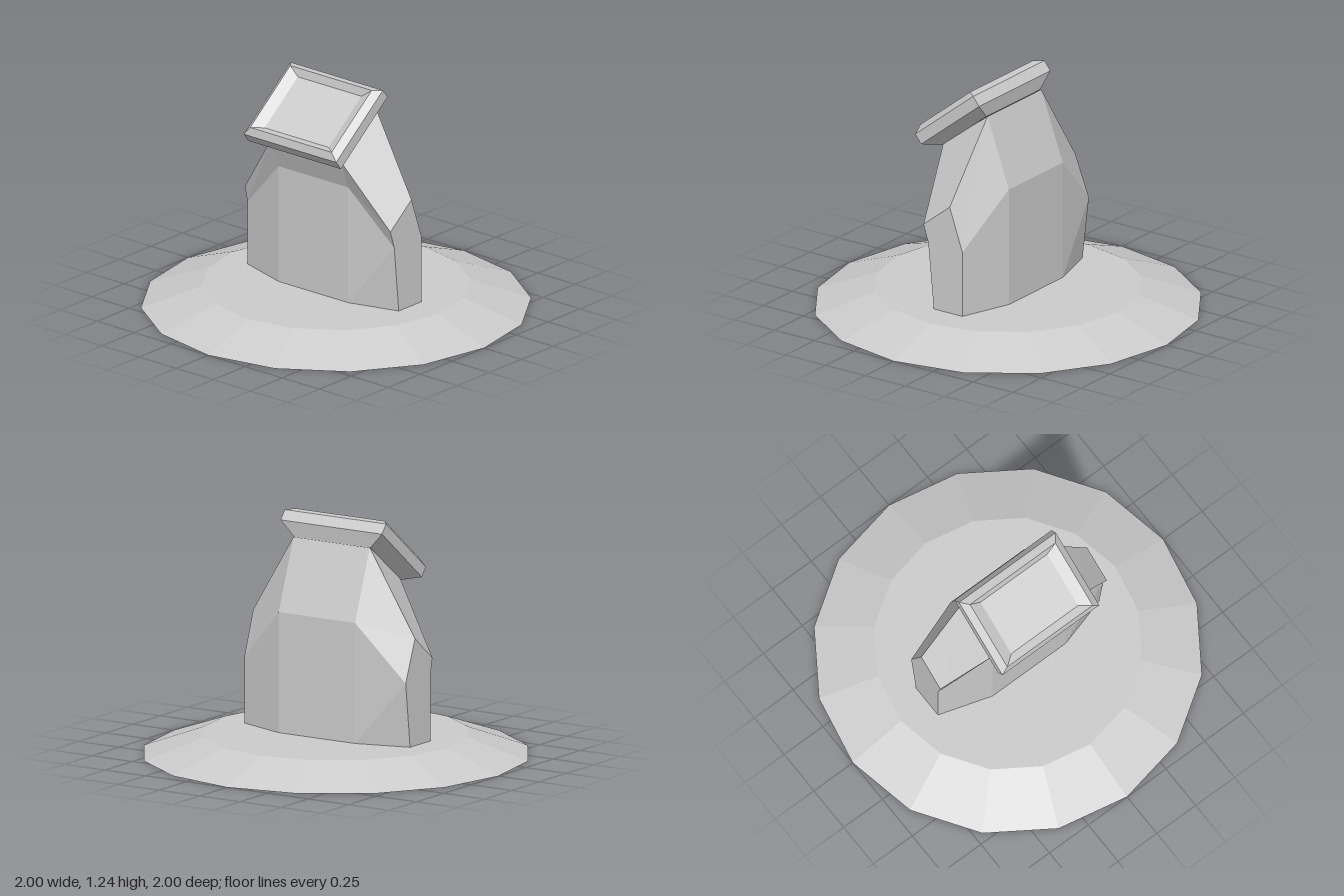
import * as THREE from 'three';

const material = new THREE.MeshStandardMaterial({ color: 0xcccccc, flatShading: true });

// Joins matching cross-sections with flat quads and closes both ends.
// Each section runs clockwise as seen from the end of the loft.
function loft(sections) {
  const positions = [];
  const tri = (a, b, c) => positions.push(...a, ...b, ...c);
  const n = sections[0].length;
  for (let s = 0; s < sections.length - 1; s++) {
    const a = sections[s], b = sections[s + 1];
    for (let i = 0; i < n; i++) {
      const j = (i + 1) % n;
      tri(a[i], b[i], b[j]);
      tri(a[i], b[j], a[j]);
    }
  }
  const first = sections[0], last = sections[sections.length - 1];
  for (let i = 0; i < n - 2; i++) {
    tri(first[n - 1], first[i], first[i + 1]);
    tri(last[n - 1], last[i + 1], last[i]);
  }
  const geometry = new THREE.BufferGeometry();
  geometry.setAttribute('position', new THREE.Float32BufferAttribute(positions, 3));
  geometry.computeVertexNormals();
  return geometry;
}

function addPart(group, name, geometry) {
  const mesh = new THREE.Mesh(geometry, material);
  mesh.name = name;
  group.add(mesh);
  return mesh;
}

export function createModel() {
  const group = new THREE.Group();
  group.name = 'pedestalConsole';

  // Low sixteen-sided foot with a sloping rim
  const base = addPart(group, 'base', new THREE.CylinderGeometry(0.69, 1, 0.11, 16));
  base.position.y = 0.055;

  // Pillar: profiles as [z, y], from the front foot over the top to the back foot
  const middle = [[0.178, 0.11], [0.178, 0.74], [0.238, 0.9], [-0.04, 1.11], [-0.175, 0.74], [-0.175, 0.11]];
  const columns = [
    [-0.52, [[0.09, 0.11], [0.09, 0.45], [0.11, 0.54], [-0.05, 0.67], [-0.135, 0.45], [-0.095, 0.11]]],
    [-0.235, middle],
    [0.235, middle],
    [0.51, [[0.1, 0.11], [0.135, 0.465], [0.165, 0.56], [0, 0.69], [-0.08, 0.46], [-0.08, 0.11]]],
  ];
  addPart(group, 'pillar', loft(columns.map(([x, profile]) => profile.map(([z, y]) => [x, y, z]))));

  // Tilted screen: rectangles as [half width, height, half depth], ending in the recess
  const rings = [
    [0.235, -0.09, 0.175],
    [0.312, -0.032, 0.233],
    [0.312, 0.028, 0.233],
    [0.275, 0.058, 0.2],
    [0.215, 0.03, 0.165],
  ];
  const screen = addPart(group, 'screen', loft(rings.map(([w, y, d]) =>
    [[-w, y, -d], [w, y, -d], [w, y, d], [-w, y, d]])));
  screen.position.set(0, 1.07, 0.16);
  screen.rotation.x = 0.67;

  return group;
}
